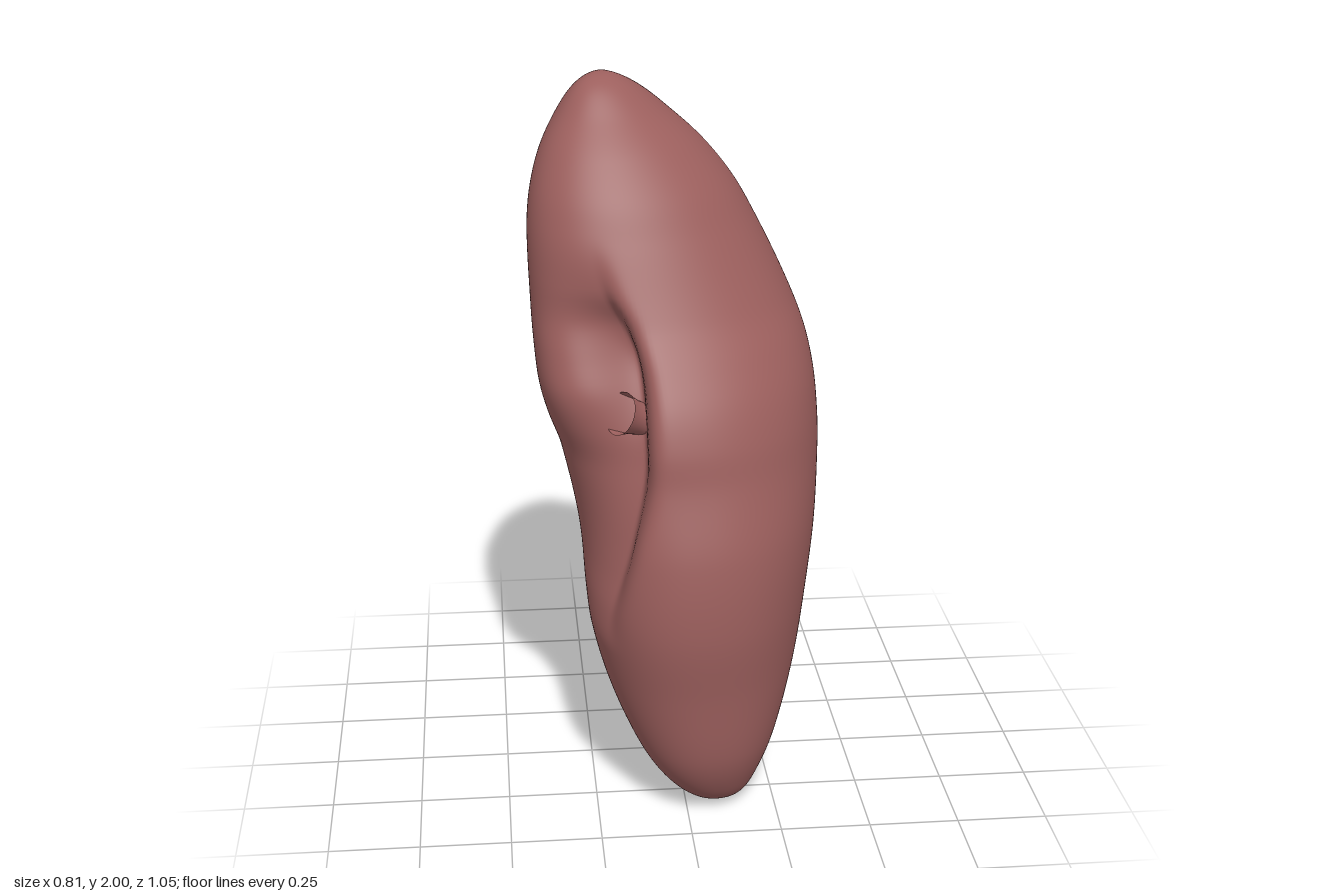
import * as THREE from 'three';
import { mergeVertices } from 'three/addons/utils/BufferGeometryUtils.js';

// height, left edge x, right edge x, front edge z, back edge z
const SECTIONS = [
  [0, 0.1, 0.1, 0.26, 0.26], [0.02, 0.02, 0.17, 0.35, 0.16], [0.1, -0.075, 0.225, 0.425, 0.04],
  [0.2, -0.14, 0.268, 0.468, -0.055], [0.4, -0.225, 0.327, 0.5, -0.215], [0.6, -0.272, 0.36, 0.527, -0.305],
  [0.8, -0.3, 0.388, 0.513, -0.373], [1, -0.338, 0.402, 0.46, -0.435], [1.1, -0.366, 0.4, 0.443, -0.463],
  [1.2, -0.387, 0.391, 0.408, -0.487], [1.3, -0.397, 0.37, 0.35, -0.508], [1.4, -0.402, 0.333, 0.285, -0.524],
  [1.6, -0.405, 0.237, 0.19, -0.52], [1.7, -0.395, 0.18, 0.14, -0.505], [1.8, -0.367, 0.1, 0.07, -0.472],
  [1.9, -0.315, -0.01, -0.02, -0.4], [1.98, -0.25, -0.12, -0.105, -0.268], [2, -0.19, -0.19, -0.18, -0.18],
];

// height, direction in degrees, depth of the groove on the hollow side
const GROOVE = [
  [0, 148, 0], [0.52, 148, 0], [0.62, 146, 0.06], [0.72, 141, 0.16], [0.83, 134, 0.24], [1, 123, 0.31],
  [1.2, 117, 0.37], [1.3, 116, 0.35], [1.38, 117, 0.25], [1.48, 120, 0.08], [1.62, 120, 0], [2, 120, 0],
];

const toT = (y) => Math.acos(THREE.MathUtils.clamp(1 - y, -1, 1)) / Math.PI;

// smooth interpolation of one column of a table
function sample(table, col, t) {
  const n = table.length;
  const T = (i) => toT(table[i][0]);
  const slope = (i) => {
    const a = Math.max(i - 1, 0), b = Math.min(i + 1, n - 1);
    return (table[b][col] - table[a][col]) / (T(b) - T(a));
  };
  let i = 0;
  while (i < n - 2 && t > T(i + 1)) i++;
  const h = T(i + 1) - T(i), s = (t - T(i)) / h, s2 = s * s, s3 = s2 * s;
  return (2 * s3 - 3 * s2 + 1) * table[i][col] + (s3 - 2 * s2 + s) * h * slope(i)
    + (3 * s2 - 2 * s3) * table[i + 1][col] + (s3 - s2) * h * slope(i + 1);
}

// closed body from stacked rounded sections with a groove
function bodyGeometry(rows, segments) {
  const positions = [], index = [];
  for (let r = 0; r <= rows; r++) {
    const t = r / rows, y = 1 - Math.cos(Math.PI * t);
    const [xl, xr, zf, zb] = [1, 2, 3, 4].map((c) => sample(SECTIONS, c, t));
    const rx = (xr - xl) / 2, rz = (zf - zb) / 2;
    const dir = THREE.MathUtils.degToRad(sample(GROOVE, 1, t));
    const depth = Math.max(0, sample(GROOVE, 2, t));
    const upper = THREE.MathUtils.smoothstep(y, 0.8, 1.5);
    // the groove widens below the hanging lip
    const spread = THREE.MathUtils.lerp(0.72, 0.55, THREE.MathUtils.smoothstep(y, 0.98, 1.22));
    for (let s = 0; s < segments; s++) {
      const a = (s / segments) * Math.PI * 2;
      const c = Math.cos(a);
      // the sections lean towards the hollow side, in the upper lobe only on its left half
      const lean = 0.11 * (1 - upper) + 0.38 * upper * (1 - c) / 2;
      const d = a - dir;
      let k = 1 - depth * Math.exp(-((d / (d > 0 ? spread : 0.14)) ** 2));
      // slightly boxy lower half, flatter back right shoulder
      const full = (Math.abs(c) ** 2.2 + Math.abs(Math.sin(a)) ** 2.2) ** (-1 / 2.2);
      k *= THREE.MathUtils.lerp(full, 1, upper);
      k *= 1 - 0.09 * upper * Math.exp(-(((a - Math.PI * 1.75) / 0.45) ** 2));
      positions.push((xl + xr) / 2 + rx * k * c, y, (zf + zb) / 2 + rz * k * Math.sin(a - lean));
      if (r < rows) {
        const i = r * segments + s, j = r * segments + ((s + 1) % segments);
        index.push(i, i + segments, j, j, i + segments, j + segments);
      }
    }
  }
  const geometry = new THREE.BufferGeometry();
  geometry.setAttribute('position', new THREE.Float32BufferAttribute(positions, 3));
  geometry.setIndex(index);
  const merged = mergeVertices(geometry, 1e-5);
  merged.computeVertexNormals();
  return merged;
}

export function createModel() {
  const group = new THREE.Group();
  group.name = 'kidney';
  const color = 0x9c5f5d;

  const body = new THREE.Mesh(bodyGeometry(160, 200), new THREE.MeshStandardMaterial({ color }));
  body.name = 'body';
  group.add(body);

  // small open vessel mouth set into the groove
  const profile = [[0.05, -0.14], [0.045, -0.06], [0.05, -0.02], [0.06, 0.01]]
    .map(([x, y]) => new THREE.Vector2(x, y));
  const mouth = new THREE.Mesh(
    new THREE.LatheGeometry(new THREE.SplineCurve(profile).getPoints(12), 32),
    new THREE.MeshStandardMaterial({ color, side: THREE.DoubleSide }),
  );
  mouth.name = 'vesselMouth';
  mouth.position.set(-0.165, 1.16, 0.27);
  mouth.quaternion.setFromUnitVectors(
    new THREE.Vector3(0, 1, 0), new THREE.Vector3(-0.7, 0.35, 0.4).normalize());
  group.add(mouth);

  return group;
}
